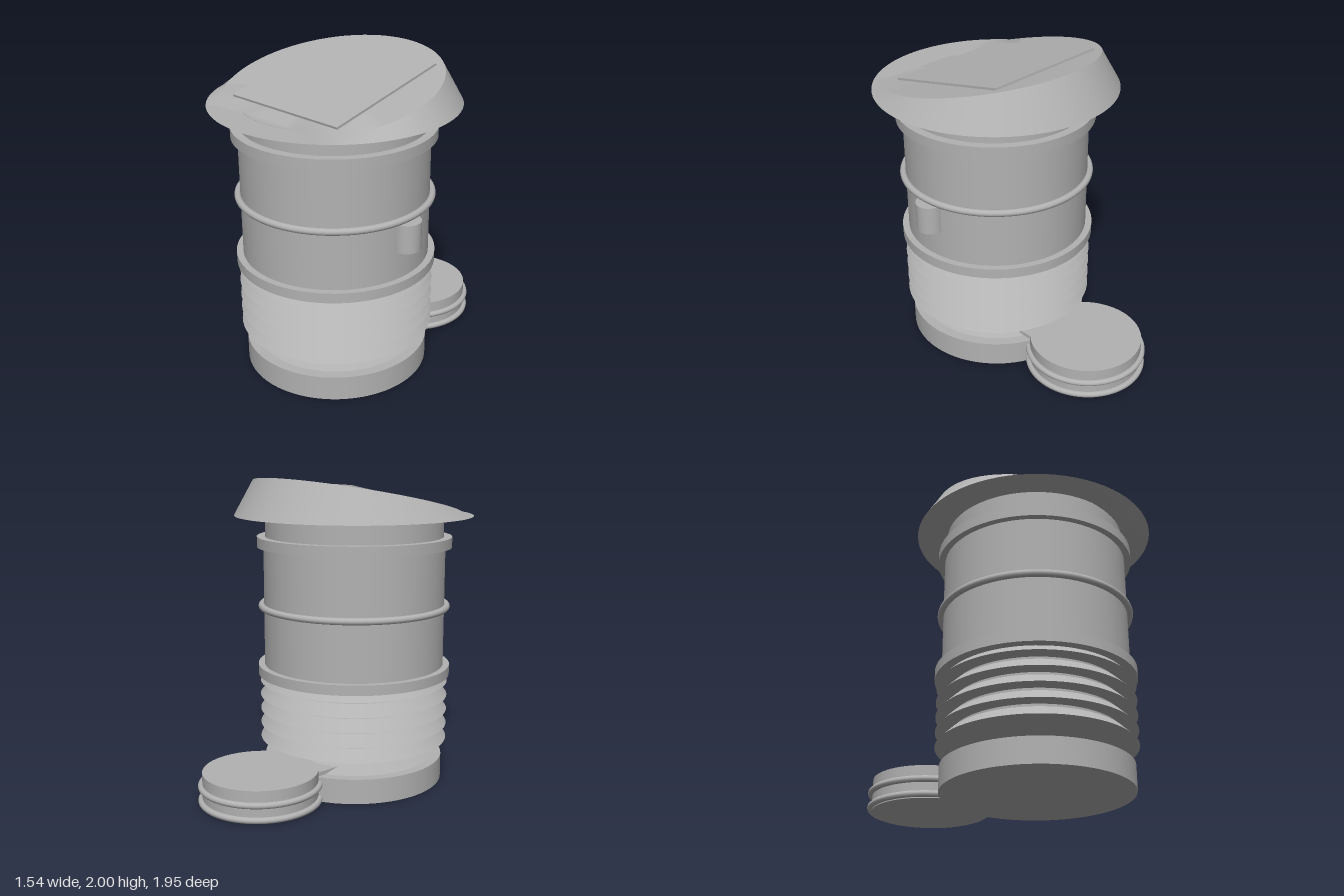
import * as THREE from 'three';
import { toCreasedNormals } from 'three/addons/utils/BufferGeometryUtils.js';

const SEG = 72;

export function createModel() {
  const model = new THREE.Group();
  const grey = new THREE.MeshStandardMaterial({ color: 0xb2b2b2 });
  grey.name = 'grey';
  grey.side = THREE.DoubleSide; // the tilted hat folds under at the front

  const body = new THREE.Group();
  body.name = 'body';
  body.position.z = 0.212;
  model.add(body);

  function add(parent, name, geometry, x = 0, y = 0, z = 0) {
    const mesh = new THREE.Mesh(geometry, grey);
    mesh.name = name;
    mesh.position.set(x, y, z);
    parent.add(mesh);
    return mesh;
  }
  // upright cylinder or frustum between two heights
  function drum(parent, name, rTop, rBottom, y0, y1, x = 0, z = 0) {
    const g = new THREE.CylinderGeometry(rTop, rBottom, y1 - y0, SEG);
    return add(parent, name, g, x, (y0 + y1) / 2, z);
  }
  function hoop(parent, name, radius, tube, y, z = 0) {
    const g = new THREE.TorusGeometry(radius, tube, 12, SEG).rotateX(Math.PI / 2);
    return add(parent, name, g, 0, y, z);
  }

  // base with shallow cone
  drum(body, 'base', 0.59, 0.59, 0, 0.16);
  drum(body, 'baseCone', 0.11, 0.525, 0.16, 0.277);

  // louvred section
  drum(body, 'louvreCore', 0.52, 0.52, 0.28, 0.72);
  for (let i = 0; i < 5; i++) {
    const y = 0.277 + i * 0.0965;
    drum(body, 'louvre', 0.548, 0.62, y, y + 0.07);
  }

  // upper shell, neck and bands
  drum(body, 'shell', 0.59, 0.59, 0.715, 1.58);
  drum(body, 'neck', 0.578, 0.578, 1.56, 1.752);
  drum(body, 'lowerBand', 0.632, 0.632, 0.71, 0.775);
  drum(body, 'upperBand', 0.632, 0.632, 1.547, 1.614);
  hoop(body, 'middleHoop', 0.605, 0.022, 1.162);
  drum(body, 'sideKnob', 0.09, 0.09, 0.957, 1.14, 0.585);

  // hat: flat underside, tilted top dipping at the front
  const slope = 0.211;
  const hat = new THREE.CylinderGeometry(0.68, 0.77, 0.2, SEG);
  const p = hat.attributes.position;
  for (let i = 0; i < p.count; i++) {
    if (p.getY(i) > 0) {
      const z = p.getZ(i) * 0.978 + 0.03;
      p.setXYZ(i, p.getX(i), 1.86 - slope * (z - 0.03), z);
    } else {
      p.setY(i, 1.75);
    }
  }
  add(model, 'hat', toCreasedNormals(hat, 0.5), 0, 0, 0.205);

  // panel lying on the tilted top
  const panel = add(model, 'panel', new THREE.BoxGeometry(0.86, 0.024, 0.87), 0, 1.866, 0.208);
  panel.position.y = 1.86 - slope * (0.208 - 0.235) + 0.002;
  panel.rotation.x = Math.atan(slope);

  // rear canister with two hoops and a joining plate
  const canister = new THREE.Group();
  canister.name = 'canister';
  canister.position.z = -0.585;
  model.add(canister);
  drum(canister, 'canisterBody', 0.362, 0.362, 0, 0.205);
  hoop(canister, 'canisterHoop', 0.37, 0.02, 0.024);
  hoop(canister, 'canisterHoop', 0.37, 0.02, 0.117);
  add(model, 'joiningPlate', new THREE.BoxGeometry(0.48, 0.045, 0.2), 0, 0.163, -0.24);

  return model;
}
